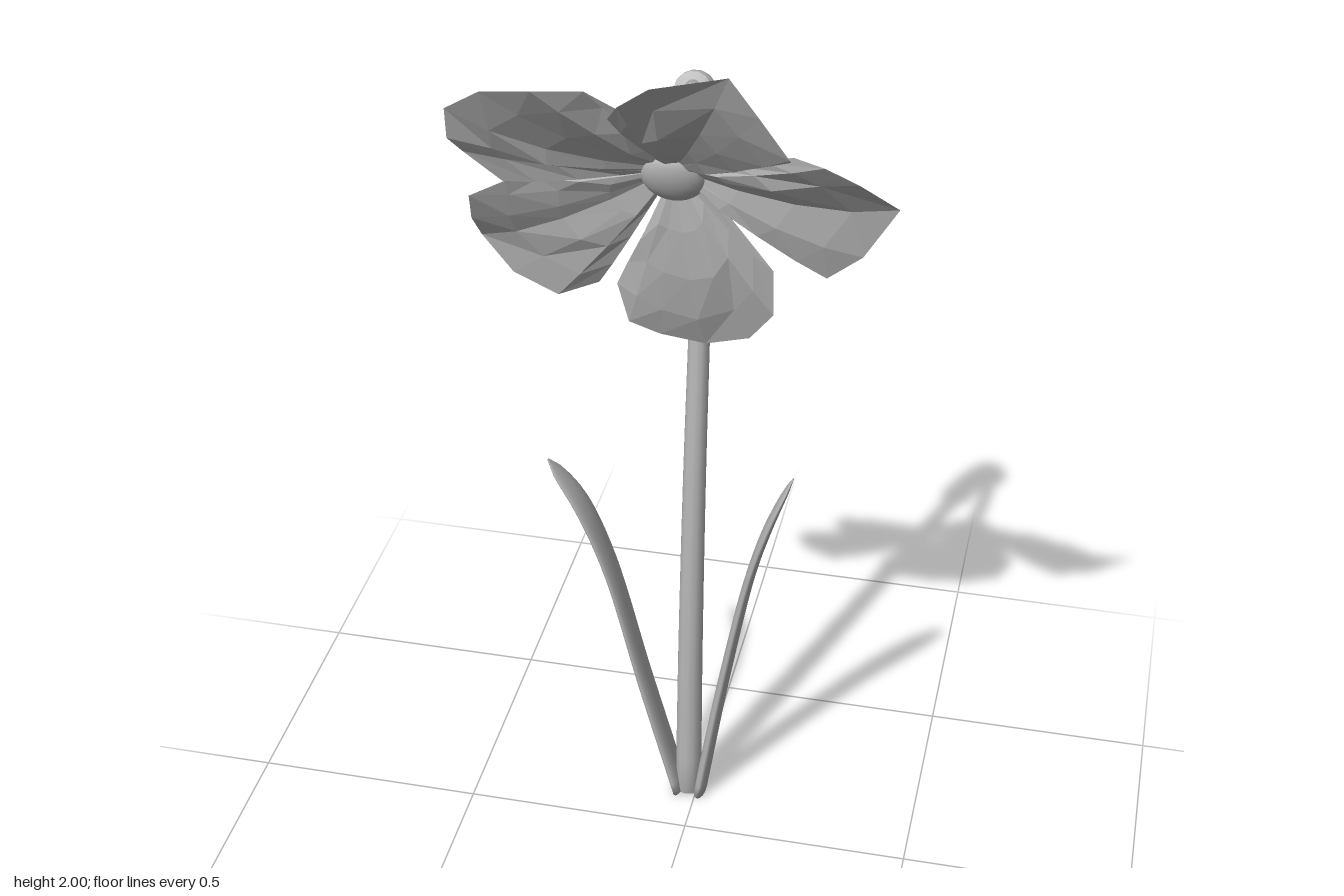
import * as THREE from 'three';

const V = (p) => new THREE.Vector3(...p);

// Grid of points (rows x cols) turned into a surface
function gridGeometry(rows, closed) {
  const cols = rows[0].length, index = [];
  const span = closed ? cols : cols - 1;
  for (let i = 0; i < rows.length - 1; i++) {
    for (let j = 0; j < span; j++) {
      const k = (j + 1) % cols;
      const a = i * cols + j, b = i * cols + k, c = a + cols, d = b + cols;
      index.push(a, b, d, a, d, c);
    }
  }
  const g = new THREE.BufferGeometry().setFromPoints(rows.flat());
  g.setIndex(index);
  g.computeVertexNormals();
  return g;
}

// Sweep an ellipse along a planar curve; size(t) gives [half width along side, half depth]
function sweep(points, side, size, steps, sides) {
  const curve = new THREE.CatmullRomCurve3(points.map(V));
  const B = V(side), rows = [];
  const ring = (t, scale) => {
    const c = curve.getPointAt(t);
    const N = curve.getTangentAt(t).cross(B).normalize();
    const [w, d] = size(t);
    rows.push(Array.from({ length: sides }, (_, j) => {
      const a = (j / sides) * Math.PI * 2;
      return c.clone().addScaledVector(B, Math.cos(a) * w * scale)
        .addScaledVector(N, Math.sin(a) * d * scale);
    }));
  };
  ring(0, 0);
  for (let i = 0; i <= steps; i++) ring(i / steps, 1);
  ring(1, 0);
  return gridGeometry(rows, true);
}

const CENTRE = V([-0.02, 1.665, 0]);
const FACING = V([0, -0.42, 0.9]).normalize();

// Petal: rows fanning from the centre to an outline, cupped forward with faint folds
function petalGeometry(outline) {
  const rim = outline.map(V);
  const rows = [0.06, 0.3, 0.55, 0.8, 1].map((t, i) => rim.map((p, j) => {
    const fold = i < 4 ? (((j * 7 + i * 5) % 4) - 1.5) * 0.005 * t : 0;
    const across = Math.sin((j / (rim.length - 1)) * Math.PI);
    return CENTRE.clone().lerp(p, t)
      .addScaledVector(FACING, Math.sin(Math.PI * t) * 0.03 * across + fold);
  }));
  return gridGeometry(rows, false).toNonIndexed();
}

const PETALS = {
  topPetal: [[-0.06, 1.76, 0.08], [-0.11, 1.83, 0.15], [-0.065, 1.91, 0.26], [0.0, 1.965, 0.29],
    [0.14, 2.0, 0.29], [0.19, 1.92, 0.27], [0.24, 1.83, 0.24], [0.23, 1.79, 0.17], [0.1, 1.72, 0.06]],
  upperRightPetal: [[-0.21, 1.655, 0.03], [-0.33, 1.65, 0.09], [-0.395, 1.72, 0.12], [-0.415, 1.76, 0.15],
    [-0.41, 1.83, 0.17], [-0.33, 1.89, 0.21], [-0.23, 1.91, 0.23], [-0.145, 1.895, 0.18], [-0.1, 1.83, 0.11]],
  lowerRightPetal: [[-0.12, 1.5, -0.035], [-0.18, 1.38, -0.035], [-0.26, 1.35, -0.02], [-0.35, 1.39, -0.02],
    [-0.41, 1.47, -0.015], [-0.415, 1.53, 0.03], [-0.405, 1.6, 0.07], [-0.33, 1.645, 0.08], [-0.2, 1.655, 0.04]],
  bottomPetal: [[0.08, 1.56, -0.03], [0.17, 1.455, -0.02], [0.17, 1.35, -0.03], [0.12, 1.28, -0.05],
    [0.03, 1.25, -0.06], [-0.06, 1.27, -0.045], [-0.12, 1.3, -0.03], [-0.14, 1.39, -0.02], [-0.08, 1.52, -0.02]],
  leftPetal: [[0.12, 1.73, 0.06], [0.23, 1.785, 0.14], [0.29, 1.78, 0.16], [0.35, 1.74, 0.135],
    [0.415, 1.65, 0.045], [0.35, 1.54, 0.04], [0.28, 1.475, 0.02], [0.2, 1.51, 0.0], [0.08, 1.58, -0.02]],
};

export function createModel() {
  const group = new THREE.Group();
  const grey = new THREE.MeshStandardMaterial({ color: 0xb4b4b4 });
  grey.name = 'grey';
  const petalGrey = new THREE.MeshStandardMaterial({
    color: 0xb4b4b4, flatShading: true, side: THREE.DoubleSide });
  petalGrey.name = 'petal grey';
  const add = (name, geometry, material = grey) => {
    const mesh = new THREE.Mesh(geometry, material);
    mesh.name = name;
    group.add(mesh);
    return mesh;
  };

  // Long stem leaning back as it rises
  add('stem', sweep([[-0.02, 0, -0.13], [-0.02, 0.4, -0.15], [-0.02, 0.85, -0.19],
    [-0.02, 1.2, -0.235], [-0.02, 1.5, -0.264]], [1, 0, 0],
  (t) => [0.03 - 0.009 * t, 0.03 - 0.009 * t], 16, 12));

  // Wrinkled sheath around the bend
  add('sheath', sweep([[-0.02, 1.48, -0.265], [-0.02, 1.58, -0.262], [-0.02, 1.66, -0.245],
    [-0.02, 1.725, -0.212], [-0.02, 1.755, -0.16]], [1, 0, 0],
  (t) => {
    const r = 0.033 + 0.004 * Math.sin(t * 44);
    return [r * 1.1, r];
  }, 40, 14));

  // Thin neck from the sheath to the flower
  add('neck', sweep([[-0.02, 1.755, -0.17], [-0.02, 1.745, -0.11], [-0.02, 1.715, -0.05],
    [-0.02, 1.67, 0]], [1, 0, 0], () => [0.016, 0.016], 10, 10));

  // Two blade leaves, rounded at the tips
  const blade = (t) => {
    const tip = Math.sqrt(Math.max(0, 1 - Math.max(0, (t - 0.8) / 0.2) ** 2));
    return [0.041 * Math.max(tip, 0.08), 0.014 * (1 - 0.35 * t) * Math.max(tip, 0.15)];
  };
  const leaves = {
    rightLeaf: [[-0.042, 0, -0.132], [-0.12, 0.3, -0.132], [-0.2, 0.62, -0.132],
      [-0.26, 0.77, -0.132], [-0.328, 0.87, -0.132]],
    leftLeaf: [[0.008, 0, -0.132], [0.06, 0.33, -0.132], [0.118, 0.64, -0.132],
      [0.158, 0.78, -0.132], [0.203, 0.897, -0.132]],
  };
  for (const [name, path] of Object.entries(leaves)) {
    add(name, sweep(path, [0, 0, 1], blade, 28, 14));
  }

  // Five cupped petals
  for (const [name, outline] of Object.entries(PETALS)) {
    add(name, petalGeometry(outline), petalGrey);
  }

  // Flattened flower centre facing forward and down
  const disc = add('flowerCentre', new THREE.SphereGeometry(0.063, 20, 14));
  disc.scale.set(1, 1, 0.5);
  disc.position.set(-0.02, 1.655, 0.012);
  disc.quaternion.setFromUnitVectors(new THREE.Vector3(0, 0, 1), FACING);

  return group;
}
